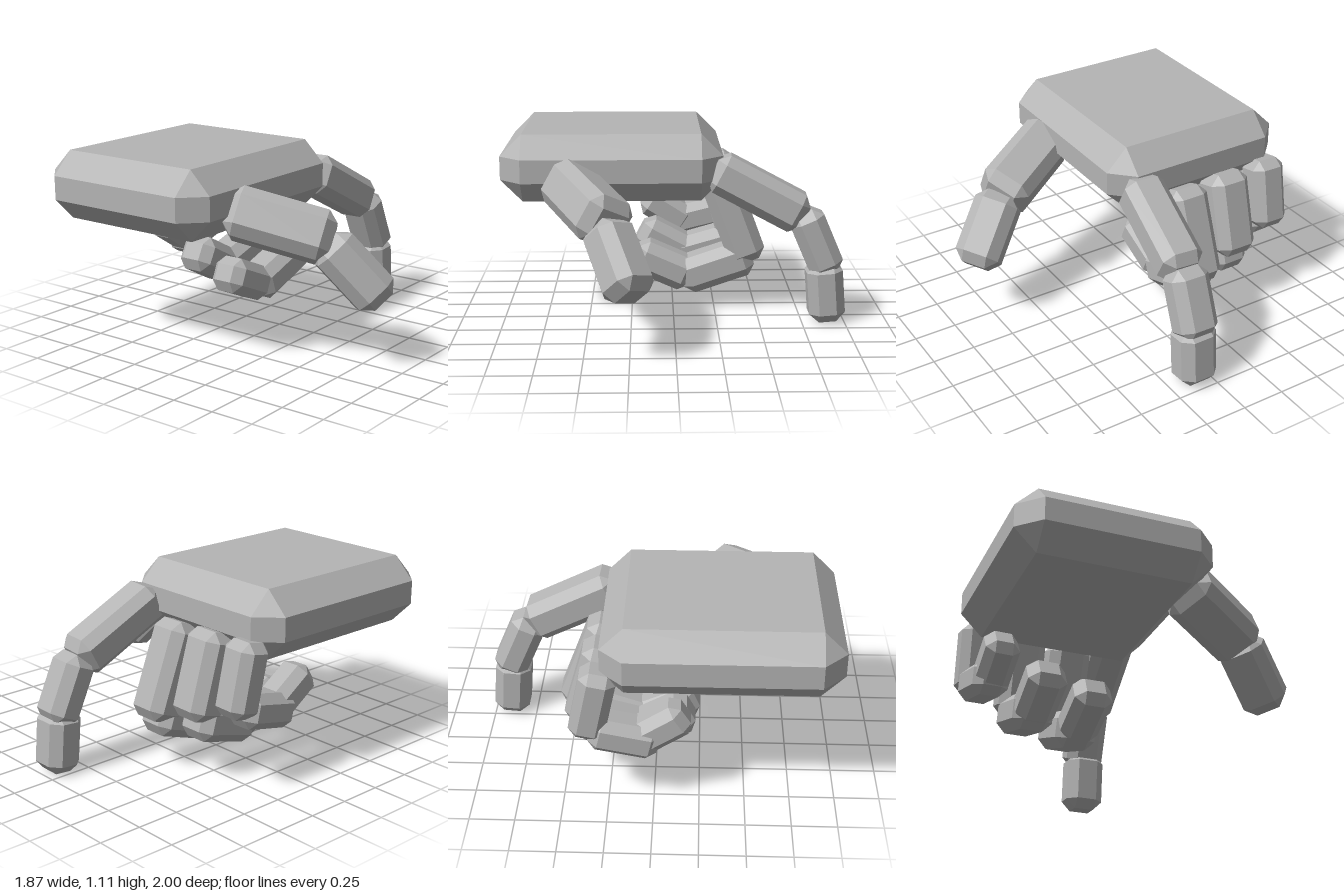
import * as THREE from 'three';
import { ConvexGeometry } from 'three/addons/geometries/ConvexGeometry.js';

const grey = new THREE.MeshStandardMaterial({ color: 0xb4b4b4, flatShading: true });
grey.name = 'plain grey';

// Box with flat chamfers on every edge and a triangle at every corner
function chamferBox(w, h, d, b) {
  const points = [];
  for (const x of [-1, 1]) for (const y of [-1, 1]) for (const z of [-1, 1]) {
    const X = x * w / 2, Y = y * h / 2, Z = z * d / 2;
    points.push(
      new THREE.Vector3(X, Y - y * b, Z - z * b),
      new THREE.Vector3(X - x * b, Y, Z - z * b),
      new THREE.Vector3(X - x * b, Y - y * b, Z));
  }
  return new ConvexGeometry(points);
}

// One bone: centre, direction towards the tip, [width, length, thickness], width axis
function segment(name, center, dir, size, bevel, side = [1, 0, 0]) {
  const mesh = new THREE.Mesh(chamferBox(...size, bevel), grey);
  const y = new THREE.Vector3(...dir).normalize();
  const x = new THREE.Vector3(...side);
  x.addScaledVector(y, -x.dot(y)).normalize();
  const z = new THREE.Vector3().crossVectors(x, y);
  mesh.quaternion.setFromRotationMatrix(new THREE.Matrix4().makeBasis(x, y, z));
  mesh.position.set(...center);
  mesh.name = name;
  return mesh;
}

export function createModel() {
  const hand = new THREE.Group();
  hand.name = 'hand';

  // Palm slab
  const palm = new THREE.Mesh(chamferBox(1.13, 0.39, 1.285, 0.127), grey);
  palm.position.set(-0.37, 0.915, 0.357);
  palm.name = 'palm';
  hand.add(palm);

  // Digits: bones from knuckle to tip as [centre, direction, size]
  const thumbSide = [0.42, 0.45, 0.8];
  const digits = {
    indexFinger: { bevel: 0.055, bones: [
      [[0.06, 0.768, -0.494], [0.062, -0.465, -0.885], [0.245, 0.6, 0.24]],
      [[0.082, 0.477, -0.829], [0.02, -0.918, -0.396], [0.235, 0.4, 0.205]],
      [[0.09, 0.185, -0.887], [0, -0.997, -0.08], [0.23, 0.36, 0.21]],
    ] },
    middleFinger: { bevel: 0.055, bones: [
      [[-0.235, 0.555, -0.363], [0, -0.936, -0.351], [0.25, 0.567, 0.23]],
      [[-0.235, 0.254, -0.262], [0, -0.32, 0.947], [0.24, 0.447, 0.22]],
      [[-0.237, 0.261, 0.056], [0, 0.406, 0.914], [0.225, 0.375, 0.21]],
    ] },
    ringFinger: { bevel: 0.055, bones: [
      [[-0.515, 0.6, -0.338], [0.01, -0.963, -0.27], [0.25, 0.5, 0.23]],
      [[-0.508, 0.305, -0.22], [0.02, -0.27, 0.96], [0.24, 0.42, 0.22]],
      [[-0.502, 0.335, 0.04], [0.01, 0.475, 0.88], [0.23, 0.36, 0.215]],
    ] },
    littleFinger: { bevel: 0.05, bones: [
      [[-0.79, 0.65, -0.327], [0.02, -0.98, -0.2], [0.215, 0.42, 0.2]],
      [[-0.78, 0.438, -0.162], [0.05, -0.23, 0.97], [0.21, 0.38, 0.2]],
      [[-0.763, 0.482, 0.029], [0.02, 0.54, 0.84], [0.2, 0.34, 0.2]],
    ] },
    thumb: { bevel: 0.06, side: thumbSide, bones: [
      [[0.365, 0.777, 0.492], [0.85, -0.25, -0.46], [0.3, 0.59, 0.28]],
      [[0.718, 0.54, 0.307], [0.6, -0.73, -0.33], [0.26, 0.445, 0.25]],
    ] },
  };

  for (const [name, { bevel, side, bones }] of Object.entries(digits)) {
    const digit = new THREE.Group();
    digit.name = name;
    bones.forEach(([center, dir, size], i) =>
      digit.add(segment(`${name}Bone${i + 1}`, center, dir, size, bevel, side)));
    hand.add(digit);
  }
  return hand;
}
